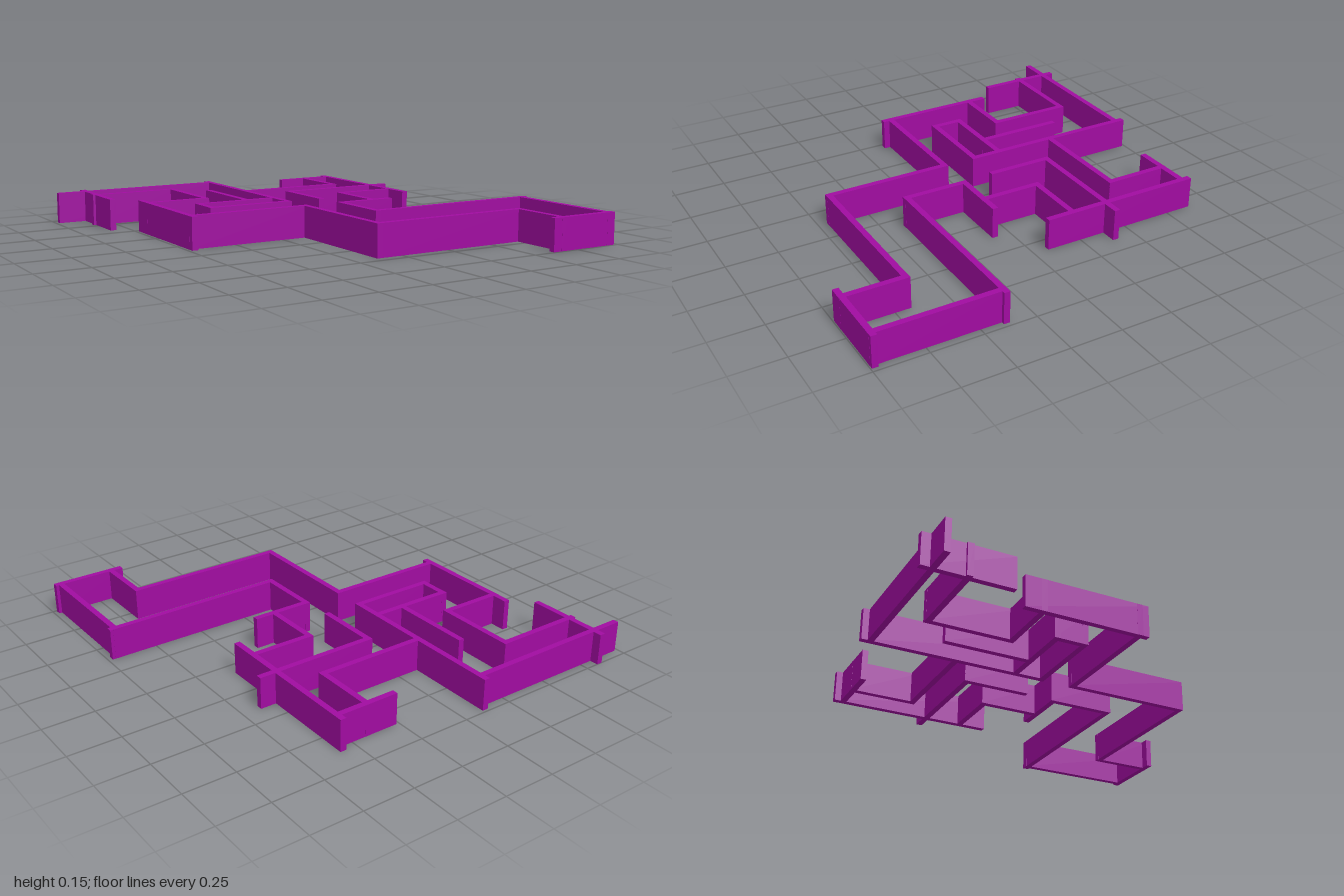
import * as THREE from 'three';

const HEIGHT = 0.153;
const THICK = 0.029;

// Walls running along x: [z, x start, x end]
const CROSS_WALLS = [
  [-0.943, -0.983, -0.106],
  [-0.79, -0.857, -0.403],
  [-0.393, -0.735, -0.403],
  [-0.228, -0.545, -0.106],
  [-0.088, -0.545, -0.106],
  [0.08, -0.735, -0.106],
  [0.69, -0.133, 0.687],
  [0.98, 0.613, 0.98],
  [0.385, 0.065, 0.98],
  [0.08, 0.065, 0.37],
  [-0.21, 0.25, 0.582],
  [-0.393, 0.05, 0.66],
  [-0.53, -0.133, 0.43],
  [-0.835, 0.264, 0.582],
];

// Walls running along z: [x, z start, z end]
const LONG_WALLS = [
  [-0.83, -1, -0.577],
  [-0.12, -0.987, -0.074],
  [-0.417, -0.805, -0.378],
  [-0.272, -0.654, -0.213],
  [-0.72, -0.485, 0.125],
  [-0.53, -0.243, -0.074],
  [-0.12, 0.065, 0.705],
  [0.673, 0.675, 0.995],
  [0.95, 0.37, 0.995],
  [0.079, 0.065, 0.4],
  [0.264, -0.225, 0.095],
  [0.064, -0.407, -0.074],
  [0.568, -0.88, -0.074],
  [0.415, -0.85, -0.515],
];

export function createModel() {
  const model = new THREE.Group();
  model.name = 'mazeWalls';
  const material = new THREE.MeshStandardMaterial({ color: 0xa00ca0 });

  const addWall = (name, x, z, width, depth) => {
    const wall = new THREE.Mesh(new THREE.BoxGeometry(width, HEIGHT, depth), material);
    wall.name = name;
    wall.position.set(x, HEIGHT / 2, z);
    model.add(wall);
  };

  CROSS_WALLS.forEach(([z, a, b], i) => addWall(`crossWall${i + 1}`, (a + b) / 2, z, b - a, THICK));
  LONG_WALLS.forEach(([x, a, b], i) => addWall(`longWall${i + 1}`, x, (a + b) / 2, THICK, b - a));

  return model;
}
